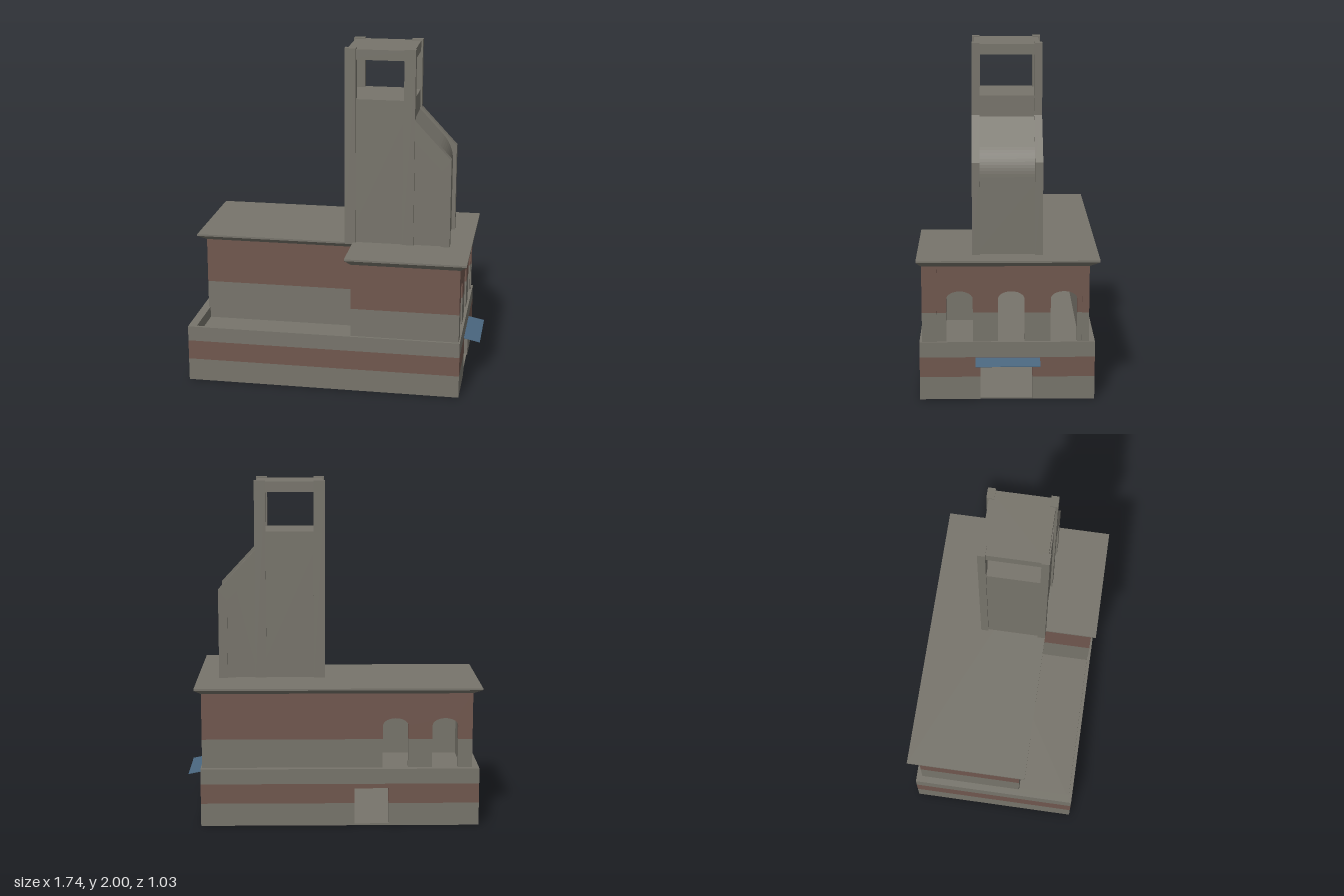
import * as THREE from 'three';

const flat = (name, color) => {
  const m = new THREE.MeshStandardMaterial({ color });
  m.name = name;
  return m;
};

export function createModel() {
  const model = new THREE.Group();
  const stone = flat('stone', 0x77746b);
  const brick = flat('brick', 0x70574e);
  const blue = flat('canopyBlue', 0x4a677f);

  const group = (name) => {
    const g = new THREE.Group();
    g.name = name;
    model.add(g);
    return g;
  };
  const add = (parent, name, geo, mat) => {
    const m = new THREE.Mesh(geo, mat);
    m.name = name;
    parent.add(m);
    return m;
  };
  // box from its minimum and maximum corners
  const box = (parent, name, x0, x1, y0, y1, z0, z1, mat = stone) =>
    add(parent, name, new THREE.BoxGeometry(x1 - x0, y1 - y0, z1 - z0), mat)
      .position.set((x0 + x1) / 2, (y0 + y1) / 2, (z0 + z1) / 2);

  // outlines of one horizontal wall band, cut by openings sorted along u
  const bandShapes = (u0, u1, y0, y1, openings) => {
    const shapes = [];
    let pts = [[u0, y1], [u0, y0]];
    const close = (u) => {
      pts.push([u, y0], [u, y1]);
      shapes.push(new THREE.Shape(pts.map((p) => new THREE.Vector2(...p))));
    };
    for (const { c, w, top, rise = 0 } of openings) {
      const a = c - w / 2, b = c + w / 2, spring = top - rise;
      if (top <= y0) continue;
      if (spring >= y1) {
        close(a);
        pts = [[b, y1], [b, y0]];
        continue;
      }
      pts.push([a, y0], [a, spring]);
      if (rise) for (let i = 1; i < 12; i++) {
        const t = Math.PI * (1 - i / 12);
        pts.push([c + Math.cos(t) * w / 2, spring + Math.sin(t) * rise]);
      }
      pts.push([b, spring], [b, y0]);
    }
    close(u1);
    return shapes;
  };
  // wall along x (its back at z = at) or along z (its outer +x face at x = at)
  const wall = (parent, name, axis, at, u0, u1, t, bands, openings = []) => {
    for (const [y0, y1, mat] of bands) {
      const geo = new THREE.ExtrudeGeometry(bandShapes(u0, u1, y0, y1, openings),
        { depth: t, bevelEnabled: false });
      if (axis === 'z') geo.rotateY(-Math.PI / 2);
      const m = add(parent, name, geo, mat);
      if (axis === 'z') m.position.x = at;
      else m.position.z = at;
    }
  };

  // ground storey with a parapet round the terrace
  const base = group('groundStorey');
  const baseBands = [[0, 0.135, stone], [0.135, 0.252, brick], [0.252, 0.342, stone]];
  wall(base, 'baseBackWall', 'x', -0.495, -0.86, 0.77, 0.075, baseBands, [{ c: -0.23, w: 0.2, top: 0.225 }]);
  wall(base, 'baseFrontWall', 'x', 0.48, -0.86, 0.77, 0.02, baseBands);
  wall(base, 'baseRightWall', 'z', 0.77, -0.42, 0.48, 0.05, baseBands, [{ c: 0.007, w: 0.295, top: 0.225 }]);
  wall(base, 'baseLeftWall', 'z', -0.81, -0.42, 0.48, 0.05, baseBands);
  box(base, 'groundFloor', -0.855, 0.765, 0, 0.01, -0.49, 0.495);
  box(base, 'terraceFloor', -0.83, 0.74, 0.255, 0.275, -0.45, 0.485);

  // upper storey, L-shaped, with arched openings
  const upper = group('upperStorey');
  const upBands = [[0.27, 0.512, stone], [0.512, 0.787, brick]];
  const arch = (c) => ({ c, w: 0.15, top: 0.637, rise: 0.045 });
  wall(upper, 'backWall', 'x', -0.46, -0.82, 0.762, 0.04, upBands, [arch(-0.66), arch(-0.37)]);
  wall(upper, 'rightWall', 'z', 0.756, -0.42, 0.4, 0.04, upBands, [arch(-0.318), arch(-0.02), arch(0.272)]);
  wall(upper, 'cornerPier', 'z', 0.762, 0.4, 0.485, 0.046, upBands);
  wall(upper, 'frontWall', 'x', 0.445, 0.125, 0.716, 0.04, upBands);
  wall(upper, 'leftWall', 'z', -0.78, -0.42, 0.16, 0.04, upBands);
  wall(upper, 'terraceWall', 'x', 0.12, -0.78, 0.165, 0.04, upBands);
  wall(upper, 'terraceSideWall', 'z', 0.165, 0.16, 0.445, 0.04, upBands);

  // flat roof whose cornice flares out from the wall tops
  const outline = (l, r, back, front, mid, step) =>
    [[l, back], [l, mid], [step, mid], [step, front], [r, front], [r, back]];
  const inner = outline(-0.82, 0.762, -0.46, 0.485, 0.16, 0.125);
  const outer = outline(-0.87, 0.8, -0.517, 0.514, 0.2, 0.09);
  const rings = [[inner, 0.785], [outer, 0.815], [outer, 0.826]];
  const pos = [];
  const vert = ([ring, y], i) => pos.push(ring[i % 6][0], y, ring[i % 6][1]);
  for (let k = 0; k < 2; k++) {
    for (let i = 0; i < 6; i++) {
      const a = rings[k], b = rings[k + 1];
      vert(a, i); vert(a, i + 1); vert(b, i + 1);
      vert(a, i); vert(b, i + 1); vert(b, i);
    }
  }
  // caps: two rectangles of the L, above and below
  for (const [ring, up] of [[rings[2], true], [rings[0], false]]) {
    const [[l, back], [, mid], [step], [, front], [r]] = ring[0];
    for (const [x0, x1, z0, z1] of [[l, r, back, mid], [step, r, mid, front]]) {
      const q = [[x0, z0], [x0, z1], [x1, z1], [x1, z0]];
      for (const i of up ? [0, 1, 2, 0, 2, 3] : [0, 2, 1, 0, 3, 2]) pos.push(q[i][0], ring[1], q[i][1]);
    }
  }
  const roofGeo = new THREE.BufferGeometry();
  roofGeo.setAttribute('position', new THREE.Float32BufferAttribute(pos, 3));
  roofGeo.computeVertexNormals();
  add(model, 'roof', roofGeo, stone);

  // tower: core, open belfry, cap slab and corner posts
  const tower = group('tower');
  box(tower, 'towerCore', 0.05, 0.445, 0.82, 1.7, -0.187, 0.187);
  box(tower, 'towerCap', 0.05, 0.445, 1.932, 1.993, -0.187, 0.187);
  for (const x of [0.04, 0.389]) {
    for (const z of [-0.2, 0.155]) box(tower, 'cornerPost', x, x + 0.066, 0.82, 2, z, z + 0.045);
  }

  // sloping buttress body with a rounded shoulder
  const body = new THREE.Shape();
  body.moveTo(0.44, 0.82);
  body.lineTo(0.65, 0.82);
  body.lineTo(0.65, 1.27);
  body.quadraticCurveTo(0.65, 1.36, 0.585, 1.43);
  body.lineTo(0.44, 1.585);
  const bodyGeo = new THREE.ExtrudeGeometry(body, { depth: 0.37, bevelEnabled: false, curveSegments: 10 });
  add(tower, 'buttressBody', bodyGeo, stone).position.z = -0.185;

  // raised frames on both sides of the buttress
  const frame = new THREE.Shape([
    [0.45, 1.595], [0.45, 1.47], [0.62, 1.29], [0.62, 0.82], [0.672, 0.82], [0.672, 1.357],
  ].map((p) => new THREE.Vector2(...p)));
  for (const z of [-0.2, 0.155]) {
    const geo = new THREE.ExtrudeGeometry(frame, { depth: 0.045, bevelEnabled: false });
    add(tower, 'buttressFrame', geo, stone).position.z = z;
  }

  // thin sloping canopy over the side door
  const canopy = add(model, 'doorCanopy', new THREE.BoxGeometry(0.1, 0.003, 0.367), blue);
  canopy.position.set(0.818, 0.238, 0);
  canopy.rotation.z = -0.2;

  return model;
}
